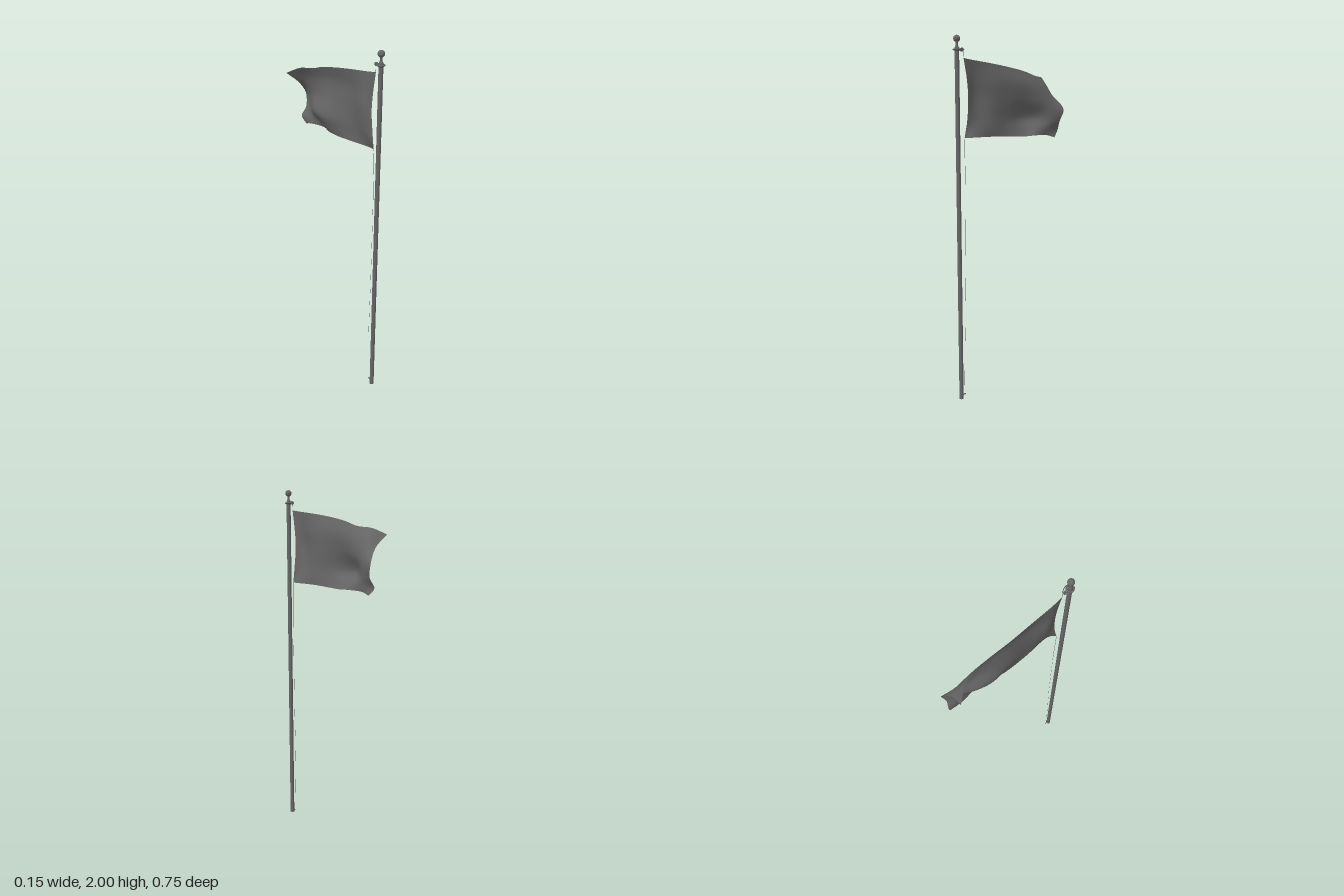
import * as THREE from 'three';

const metal = new THREE.MeshStandardMaterial({ color: 0x666666 });
metal.name = 'dark grey';
const cloth = new THREE.MeshStandardMaterial({ color: 0x666666, side: THREE.DoubleSide });
cloth.name = 'grey cloth';

const POLE_Z = 0.355;

// Flag control rows from top edge to bottom edge, each point is [z, y, x]
const FLAG_ROWS = [
  [[.315, 1.885, .004], [.25, 1.877, 0], [.12, 1.863, -.002], [0, 1.847, -.003], [-.12, 1.825, .003], [-.21, 1.8, .002], [-.29, 1.79, -.025], [-.353, 1.757, -.073]],
  [[.296, 1.78, .006], [.24, 1.775, -.004], [.12, 1.77, .014], [0, 1.77, .018], [-.12, 1.755, .025], [-.22, 1.735, .03], [-.3, 1.72, .022], [-.345, 1.695, .002]],
  [[.288, 1.68, .006], [.23, 1.68, -.008], [.12, 1.68, .014], [0, 1.68, .015], [-.12, 1.67, .018], [-.22, 1.65, .036], [-.3, 1.63, .053], [-.374, 1.61, .073]],
  [[.298, 1.56, .008], [.23, 1.57, .006], [.12, 1.57, .016], [0, 1.565, .004], [-.12, 1.56, -.011], [-.21, 1.56, .006], [-.29, 1.545, .046], [-.357, 1.54, .06]],
  [[.308, 1.505, .006], [.27, 1.505, .018], [.12, 1.51, .02], [0, 1.505, .012], [-.12, 1.5, .015], [-.19, 1.5, .034], [-.28, 1.495, .04], [-.366, 1.485, .034]],
  [[.315, 1.47, .005], [.28, 1.472, .028], [.12, 1.47, .02], [0, 1.464, .02], [-.1, 1.461, .032], [-.17, 1.465, .049], [-.28, 1.46, .036], [-.333, 1.445, .042]],
];

function flagGeometry(cols = 56, rows = 40) {
  const curves = FLAG_ROWS.map(r => new THREE.CatmullRomCurve3(r.map(([z, y, x]) => new THREE.Vector3(x, y, z))));
  const geo = new THREE.PlaneGeometry(1, 1, cols, rows);
  const pos = geo.attributes.position;
  for (let i = 0; i <= cols; i++) {
    // One smooth curve down the cloth at this distance from the hoist
    const down = new THREE.CatmullRomCurve3(curves.map(c => c.getPoint(i / cols)));
    for (let j = 0; j <= rows; j++) {
      const p = down.getPoint(j / rows);
      pos.setXYZ(j * (cols + 1) + i, p.x, p.y, p.z);
    }
  }
  geo.computeVertexNormals();
  return geo;
}

function tube(points, radius, segments = 32) {
  const curve = new THREE.CatmullRomCurve3(points.map(p => new THREE.Vector3(...p)));
  return new THREE.TubeGeometry(curve, segments, radius, 6);
}

export function createModel() {
  const group = new THREE.Group();
  const add = (name, geo, x = 0, y = 0, z = 0, mat = metal) => {
    const mesh = new THREE.Mesh(geo, mat);
    mesh.name = name;
    mesh.position.set(x, y, z);
    group.add(mesh);
    return mesh;
  };

  // Pole and finial
  add('pole', new THREE.CylinderGeometry(0.012, 0.012, 1.925, 24), 0, 0.9625, POLE_Z);
  const neck = [[0, 1.918], [0.013, 1.918], [0.013, 1.935], [0.009, 1.942], [0.006, 1.952], [0.007, 1.964], [0.011, 1.968], [0, 1.972]];
  add('finialNeck', new THREE.LatheGeometry(neck.map(p => new THREE.Vector2(...p)), 24), 0, 0, POLE_Z);
  add('finialBall', new THREE.SphereGeometry(0.018, 24, 16), 0, 1.982, POLE_Z);

  // Collar with arms reaching to the pulley
  add('collar', new THREE.TorusGeometry(0.018, 0.004, 8, 28), 0, 1.927, POLE_Z).rotation.x = Math.PI / 2;
  for (const s of [-1, 1]) {
    add('pulleyArm', tube([[s * 0.021, 1.927, 0.362], [s * 0.021, 1.927, 0.342], [s * 0.014, 1.927, 0.326], [s * 0.006, 1.927, 0.312]], 0.002, 12));
  }
  add('pulley', new THREE.CylinderGeometry(0.01, 0.01, 0.008, 18), 0, 1.927, 0.322).rotation.z = Math.PI / 2;

  // Halyard
  add('upperHalyard', tube([[0.003, 1.927, 0.315], [0.004, 1.885, 0.315]], 0.001, 4));
  add('middleHalyard', tube([[0.005, 1.47, 0.315], [0.008, 1.2, 0.315]], 0.001, 4));
  add('lowerHalyard', tube([[0.008, 1.2, 0.315], [0.004, 0.7, 0.317], [-0.004, 0.33, 0.321], [-0.004, 0.02, 0.33]], 0.0005));
  add('cleat', new THREE.BoxGeometry(0.004, 0.006, 0.02), 0, 0.02, 0.335);

  // Waving flag
  add('flag', flagGeometry(), 0, 0, 0, cloth);
  return group;
}
